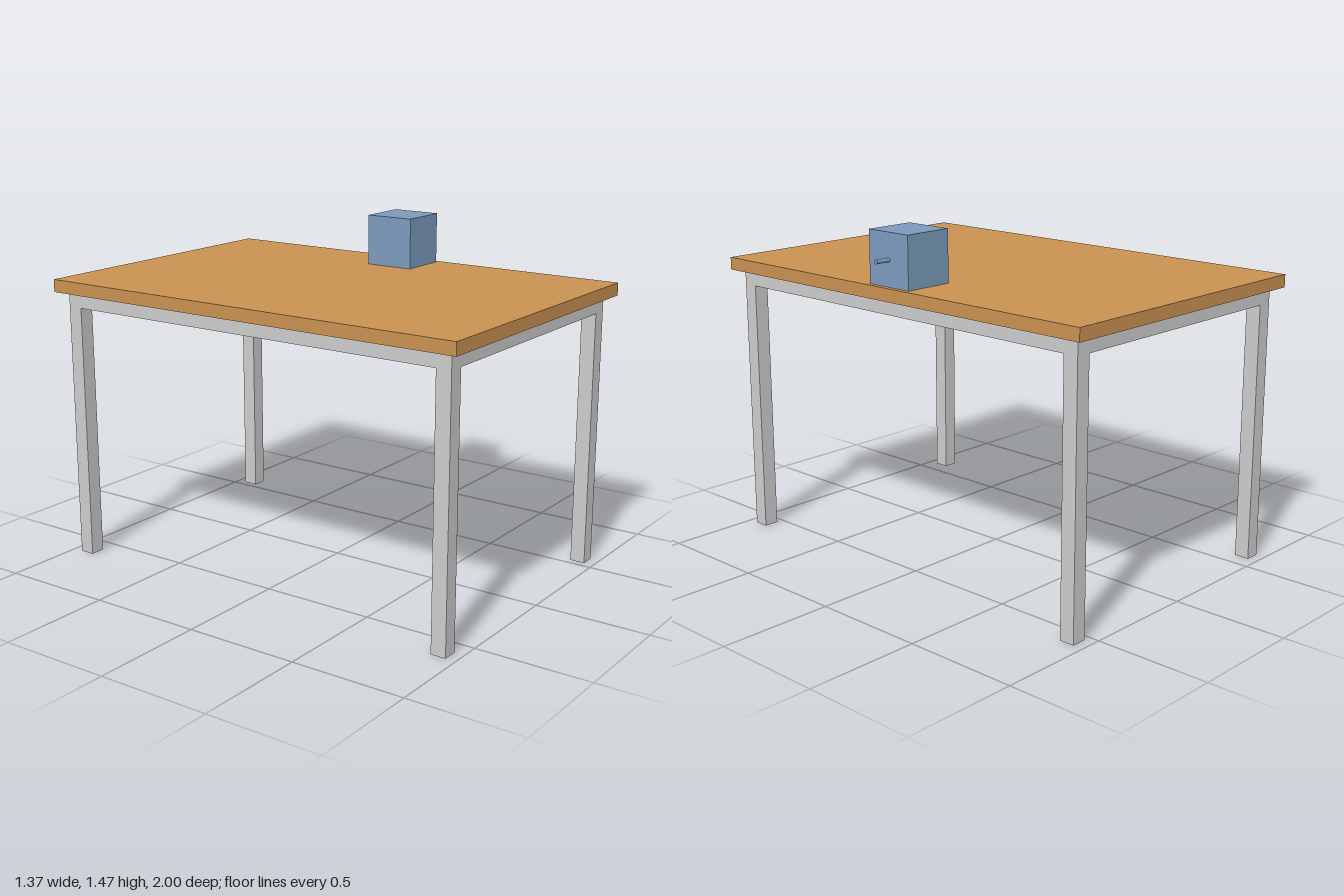
import * as THREE from 'three';

export function createModel() {
  const model = new THREE.Group();
  const wood = new THREE.MeshStandardMaterial({ color: 0xc89150 });
  const steel = new THREE.MeshStandardMaterial({ color: 0xcccccc });
  const blue = new THREE.MeshStandardMaterial({ color: 0x7b9abd });

  const add = (name, geometry, material, x, y, z, parent = model) => {
    const mesh = new THREE.Mesh(geometry, material);
    mesh.name = name;
    mesh.position.set(x, y, z);
    parent.add(mesh);
    return mesh;
  };
  const box = (w, h, d) => new THREE.BoxGeometry(w, h, d);

  // Table, centred slightly to -x because the motor shaft overhangs at +x
  const table = new THREE.Group();
  table.name = 'table';
  table.position.x = -0.023;
  model.add(table);

  const topY = 1.244, thick = 0.055, under = topY - thick;
  add('tableTop', box(1.328, thick, 2), wood, 0, topY - thick / 2, 0, table);

  // Square-tube frame: four legs joined by rails under the top
  const tube = 0.066, legX = 0.587, legZ = 0.923;
  const railY = under - tube / 2;
  for (const s of [-1, 1]) {
    for (const t of [-1, 1]) {
      add('leg', box(tube, under, tube), steel, s * legX, under / 2, t * legZ, table);
    }
    add('sideRail', box(tube, tube, 2 * legZ - tube), steel, s * legX, railY, 0, table);
    add('endRail', box(2 * legX - tube, tube, tube), steel, 0, railY, s * legZ, table);
  }

  // Motor block with a shaft pointing past the table edge
  const size = 0.222, motorX = 0.509, motorY = topY + size / 2;
  add('motorBlock', box(size, size, size), blue, motorX, motorY, 0);
  const shaftLength = 0.067;
  const shaft = add('motorShaft', new THREE.CylinderGeometry(0.009, 0.009, shaftLength, 24), blue,
    motorX + size / 2 + shaftLength / 2, motorY, 0);
  shaft.rotation.z = -Math.PI / 2;

  return model;
}
